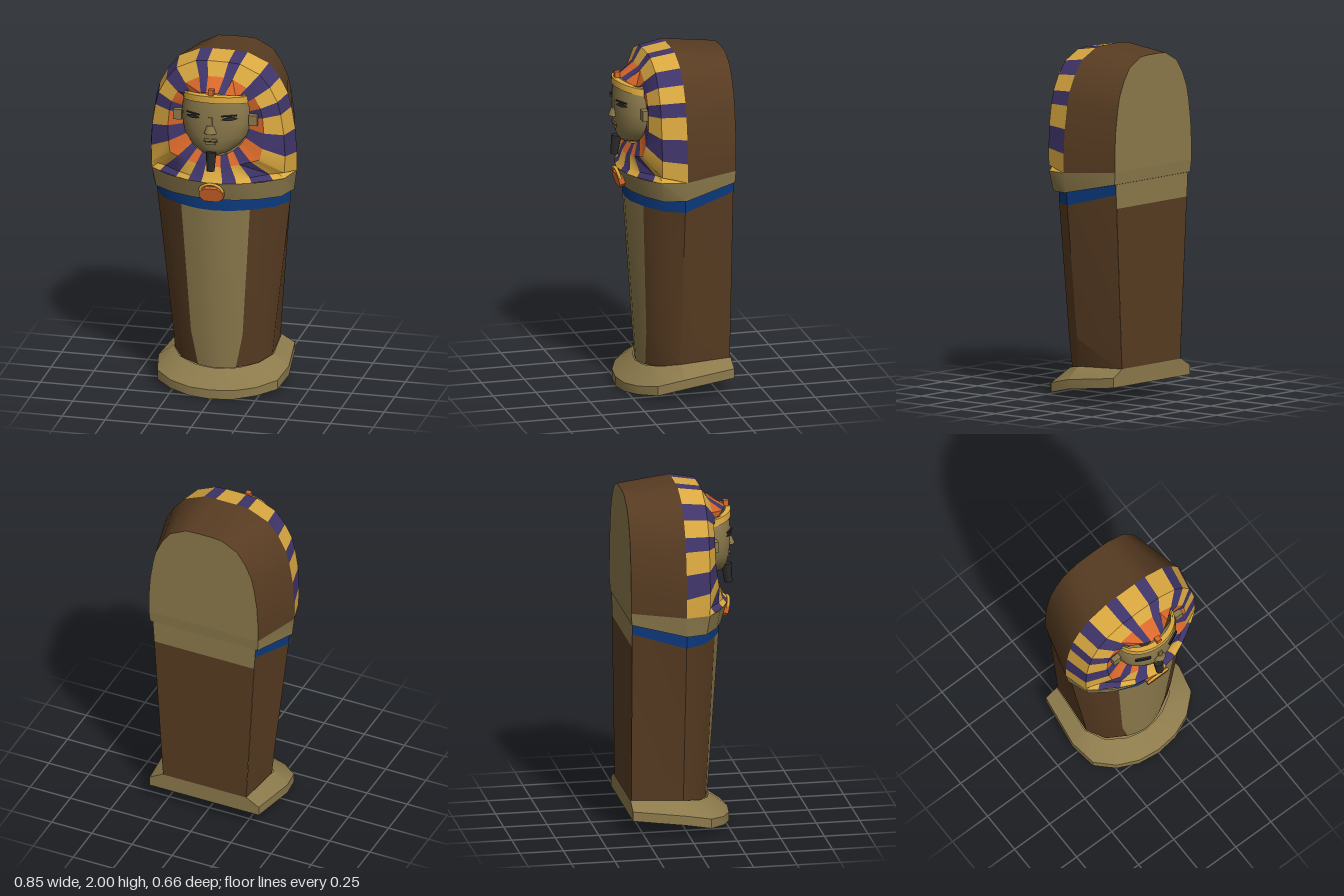
import * as THREE from 'three';
import { toCreasedNormals } from 'three/addons/utils/BufferGeometryUtils.js';

const paint = (name, color) => new THREE.MeshStandardMaterial({ name, color, side: THREE.DoubleSide });
const M = {
  tan: paint('dull gold', 0x8c7a4c),
  brown: paint('brown wood', 0x583c22),
  gold: paint('bright gold', 0xdaa840),
  purple: paint('purple', 0x40356a),
  orange: paint('orange', 0xd9682b),
  blue: paint('blue', 0x0c3a80),
  dark: paint('charcoal', 0x2b2b2b),
};

export function createModel() {
  const model = new THREE.Group();
  model.name = 'sarcophagus';

  const add = (name, geo, mat, x = 0, y = 0, z = 0) => {
    const mesh = new THREE.Mesh(geo, mat);
    mesh.name = name;
    mesh.position.set(x, y, z);
    model.add(mesh);
    return mesh;
  };
  // triangles from a flat list of points, smooth except at sharp edges
  const soup = (name, pts, mat, crease = 0.6) => {
    const geo = new THREE.BufferGeometry();
    geo.setAttribute('position', new THREE.Float32BufferAttribute(pts.flat(), 3));
    return add(name, toCreasedNormals(geo, crease), mat);
  };
  const quad = (a, b, c, d) => [a, b, c, a, c, d];
  // wall between rows of points, rows listed from the bottom up
  const wall = (name, rows, mat, closed = false, crease = 0.6) => {
    const pts = [];
    for (let j = 0; j + 1 < rows.length; j++) {
      const lo = rows[j], hi = rows[j + 1], n = lo.length;
      for (let i = 0; i < (closed ? n : n - 1); i++) {
        const k = (i + 1) % n;
        pts.push(...quad(lo[i], hi[i], hi[k], lo[k]));
      }
    }
    return soup(name, pts, mat, crease);
  };
  const mirror = ([x, y, z]) => [-x, y, z];
  // half section (back corner to front centre) to a full loop
  const loop = half => [...half, ...half.slice(0, -1).reverse().map(mirror)];

  // Foot slab with a bevelled top
  const footTop = [[.262, .2, -.32], [.29, .19, -.02], [.23, .17, .085], [.13, .152, .145], [.065, .148, .162], [0, .145, .17]];
  const footMid = [[.34, .155, -.32], [.38, .125, -.02], [.35, .09, .13], [.25, .07, .22], [.13, .058, .27], [0, .055, .285]];
  const footLowY = [.1, .07, .035, .02, .006, 0];
  const footLow = loop(footMid.map(([x, , z], i) => [x, footLowY[i], z]));
  wall('footSlab', [footLow, loop(footMid), loop(footTop)], M.tan, true, 0.45);
  soup('footUnderside', footLow.flatMap((p, i) => [[0, .07, -.02], p, footLow[(i + 1) % footLow.length]]), M.tan);

  // Tapered body: brown sides, pale front panel
  const low = loop([[.258, .19, -.315], [.283, .18, -.02], [.22, .16, .08], [.11, .15, .14], [.06, .147, .157], [0, .144, .165]]);
  const knee = loop([[.268, .35, -.316], [.3, .35, -.02], [.24, .35, .088], [.15, .35, .144], [.08, .35, .168], [0, .35, .178]]);
  const chest = loop([[.316, 1.2, -.32], [.387, 1.12, -.02], [.325, 1.12, .09], [.2, 1.12, .175], [.1, 1.12, .217], [0, 1.12, .232]]);
  const bandTop = chest.map(([x, y, z], i) => [x * 1.015, i % 10 ? 1.195 : 1.258, z]);
  const body = [low, knee, chest];
  const part = (rows, a, b) => rows.map(r => r.slice(a, b + 1));
  wall('bodySideLeft', part(body, 0, 3), M.brown);
  wall('bodyFrontPanel', part(body, 3, 7), M.tan);
  wall('bodySideRight', part(body, 7, 10), M.brown);
  wall('blueBand', [chest, bandTop], M.blue);
  const backRow = (x, y, z) => [[-x, y, z], [x, y, z]];
  wall('bodyBack', [backRow(.258, .19, -.315), backRow(.311, 1.12, -.32)], M.brown);
  wall('bodyBackStrip', [backRow(.311, 1.12, -.32), backRow(.32, 1.258, -.32)], M.tan);

  // Plain rim around the bottom of the head section
  const rimLow = loop([[.335, 1.26, -.325], [.41, 1.195, -.02], [.365, 1.19, .1], [.25, 1.19, .18], [.13, 1.19, .225], [0, 1.19, .245]]);
  const rimTop = loop([[.34, 1.33, -.33], [.425, 1.31, -.025], [.385, 1.305, .115], [.27, 1.3, .195], [.14, 1.3, .255], [0, 1.3, .28]]);
  wall('headRim', [rimLow, rimTop], M.tan, true);
  wall('headUnderside', [bandTop, rimLow], M.tan, true);

  // Headdress: outer outline at the stripe edges, from top centre to bottom centre
  const outer = [
    [0, 2, -.025], [.065, 2, -.025], [.138, 1.995, -.025], [.26, 1.94, -.025], [.325, 1.86, -.025],
    [.372, 1.77, -.025], [.393, 1.69, -.025], [.415, 1.56, -.025], [.425, 1.42, -.025], [.425, 1.31, -.025],
    [.385, 1.305, .115], [.33, 1.303, .153], [.22, 1.3, .218], [.14, 1.3, .255], [.06, 1.3, .27], [0, 1.3, .28],
  ];
  const stripes = 'gpgpgpgpgggpgpg'.split('');
  stripes[10] = 'g';
  const cy = 1.64;
  // rings run inward from the outline to the oval face opening
  const rings = [outer, [], [], []];
  for (const [x, y, z] of outer) {
    const r = Math.hypot(x, y - cy), s = x / r, c = (y - cy) / r;
    const up = Math.max(0, c), down = Math.max(0, -c);
    const face = [.192 * s, cy + .2 * c];
    const at = t => [face[0] + (x - face[0]) * t, face[1] + (y - face[1]) * t];
    rings[1].push([...at(.86), Math.max(.115, z - .02)]);
    rings[2].push([...at(.4), .165 + .07 * down * down]);
    rings[3].push([...face, .15 + .115 * up ** 3 + .05 * down * down]);
  }
  const bucket = { gold: [], purple: [], orange: [] };
  const shell = [], back = [];
  const behind = ([x, y]) => [x * .8, 1.33 + (y - 1.31) * .928, -.33];
  for (const side of [1, -1]) {
    const put = (list, ...q) => list.push(...(side > 0 ? quad(...q) : quad(...q.map(mirror).reverse())));
    stripes.forEach((s, i) => {
      for (let k = 0; k < 3; k++) {
        const color = s === 'p' ? 'purple' : k === 2 ? 'orange' : 'gold';
        put(bucket[color], rings[k][i], rings[k + 1][i], rings[k + 1][i + 1], rings[k][i + 1]);
      }
      if (i < 9) {
        const a = behind(outer[i]), b = behind(outer[i + 1]), mid = [0, 1.33, -.33];
        put(shell, outer[i], outer[i + 1], b, a);
        back.push(...(side > 0 ? [mid, a, b] : [mid, mirror(b), mirror(a)]));
      }
    });
  }
  for (const color in bucket) soup(`headdress ${color} stripes`, bucket[color], M[color]);
  soup('headShell', shell, M.brown);
  soup('headBack', back, M.tan);

  // Face: stacked arcs of height, half width and depth
  const arc = (y, w, d, drop = 0) => Array.from({ length: 17 }, (_, i) => {
    const a = Math.PI / 2 * (1 - i / 8);
    return [w * Math.sin(a), y - drop * (1 - Math.cos(a)), .15 + d * Math.cos(a)];
  });
  const levels = [[1.452, 0, .06], [1.455, .045, .09], [1.475, .095, .115], [1.51, .14, .13], [1.57, .182, .142],
    [1.65, .197, .147], [1.74, .193, .146], [1.82, .172, .135]];
  wall('face', levels.map(l => arc(...l)), M.tan, false, 1.2);

  // Headband
  wall('headband', [arc(1.792, .178, .13, .03), arc(1.792, .19, .152, .03), arc(1.83, .185, .15, .03), arc(1.835, .165, .12, .03)], M.gold);
  add('headbandCrest', new THREE.BoxGeometry(.03, .035, .03), M.orange, 0, 1.85, .275);

  // Eyes, brows and ears
  const almond = new THREE.Shape();
  almond.moveTo(-.045, 0);
  almond.quadraticCurveTo(0, .024, .045, .002);
  almond.quadraticCurveTo(0, -.016, -.045, 0);
  const eyeGeo = new THREE.ExtrudeGeometry(almond, { depth: .008, bevelEnabled: false });
  for (const s of [1, -1]) {
    add('eye', eyeGeo, M.dark, s * .105, 1.695, .274).rotation.y = s * .45;
    add('brow', new THREE.BoxGeometry(.09, .006, .009), M.dark, s * .105, 1.716, .278).rotation.y = s * .45;
    add('ear', new THREE.BoxGeometry(.05, .06, .04), M.tan, s * .22, 1.665, .17);
  }

  // Nose, lips and beard
  add('nose', new THREE.CylinderGeometry(.022, .04, .045, 6), M.tan, 0, 1.632, .288);
  add('noseBridge', new THREE.BoxGeometry(.025, .06, .02), M.tan, 0, 1.675, .293);
  add('upperLip', new THREE.BoxGeometry(.075, .012, .02), M.tan, 0, 1.568, .287);
  add('lowerLip', new THREE.BoxGeometry(.055, .014, .02), M.tan, 0, 1.546, .284);
  add('mouthLine', new THREE.BoxGeometry(.08, .004, .02), M.dark, 0, 1.558, .285);
  add('beard', new THREE.CylinderGeometry(.03, .023, .11, 8), M.dark, 0, 1.435, .285).rotation.x = -.12;

  // Clasp on the rim
  const clasp = new THREE.Shape();
  [[-.04, 0], [.04, 0], [.07, .025], [.07, .06], [.035, .085], [-.035, .085], [-.07, .06], [-.07, .025]]
    .forEach(([x, y], i) => (i ? clasp.lineTo(x, y) : clasp.moveTo(x, y)));
  add('clasp', new THREE.ExtrudeGeometry(clasp, { depth: .05, bevelEnabled: false }), M.orange, 0, 1.2, .222).rotation.x = .25;
  const trim = add('claspTrim', new THREE.TorusGeometry(.065, .01, 6, 16, Math.PI), M.gold, 0, 1.25, .275);
  trim.scale.y = .75;
  trim.rotation.x = .25;

  return model;
}
